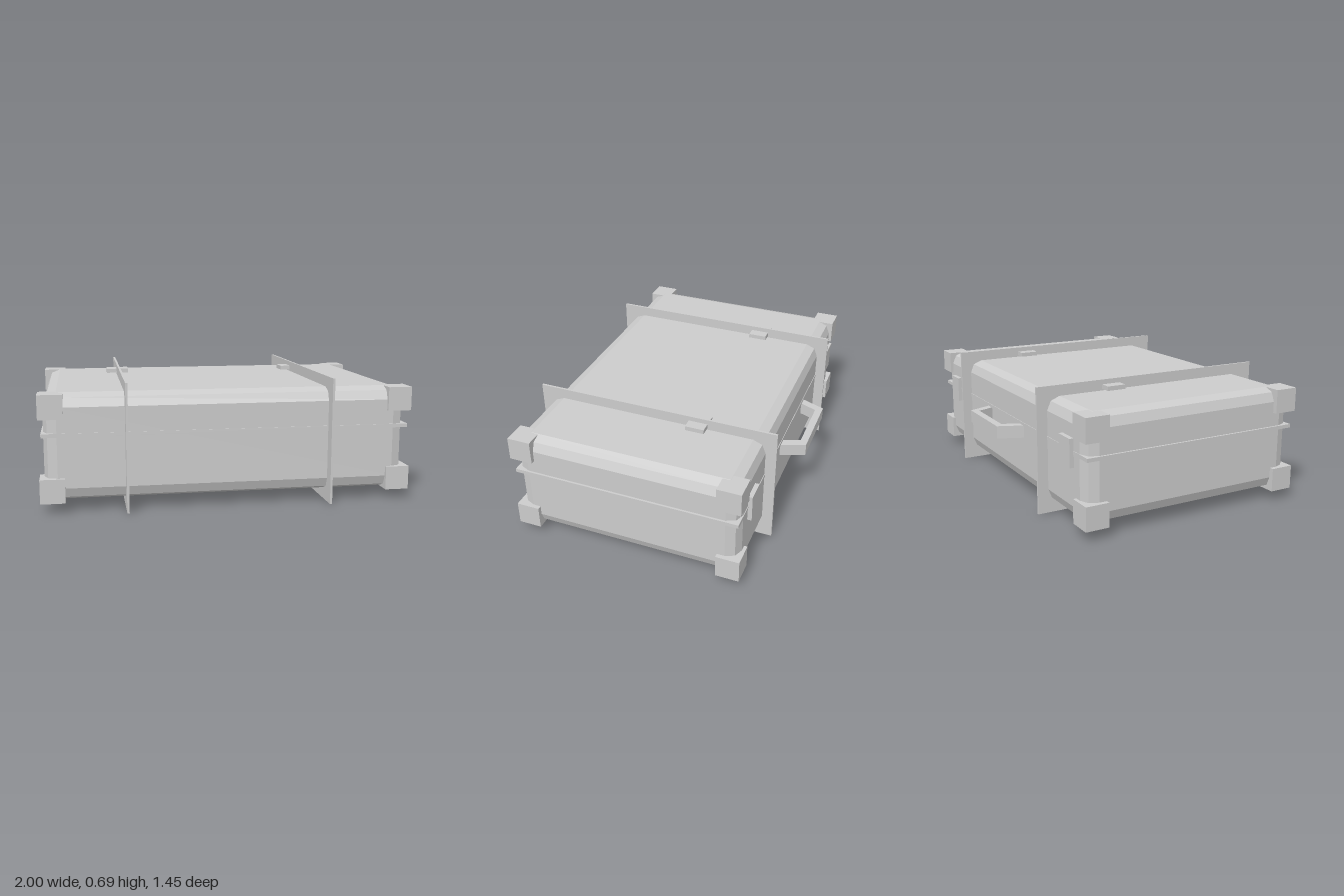
import * as THREE from 'three';
import { ConvexGeometry } from 'three/addons/geometries/ConvexGeometry.js';

const CZ = 0.036; // centre depth of the case

// Box with every edge rounded in two flat facets
function bevelledBox(hx, hy, hz, r) {
  const s = Math.SQRT1_2, t = 1 / Math.sqrt(3);
  const dirs = [[1, 0, 0], [0, 1, 0], [0, 0, 1], [s, s, 0], [s, 0, s], [0, s, s], [t, t, t]];
  const points = [];
  for (const sx of [-1, 1]) for (const sy of [-1, 1]) for (const sz of [-1, 1])
    for (const [x, y, z] of dirs)
      points.push(new THREE.Vector3(
        sx * (hx - r + r * x), sy * (hy - r + r * y), sz * (hz - r + r * z)));
  return new ConvexGeometry(points);
}

export function createModel() {
  const group = new THREE.Group();
  group.name = 'suitcase';
  const grey = new THREE.MeshStandardMaterial({ color: 0xcccccc });
  grey.name = 'light grey';

  const add = (name, geometry, x, y, z) => {
    const mesh = new THREE.Mesh(geometry, grey);
    mesh.name = name;
    mesh.position.set(x, y, z);
    group.add(mesh);
    return mesh;
  };
  const box = (name, w, h, d, x, y, z) => add(name, new THREE.BoxGeometry(w, h, d), x, y, z);

  // Case body and the rim where the lid closes
  add('body', bevelledBox(0.976, 0.283, 0.626, 0.07), 0, 0.343, CZ);
  box('rim', 1.974, 0.02, 1.258, 0, 0.411, CZ);

  // Square corner guards
  for (const x of [-0.935, 0.935])
    for (const y of [0.12, 0.5605])
      for (const z of [-0.644, 0.644].map(v => CZ + Math.sign(v) * (Math.abs(v) - 0.065)))
        box('cornerGuard', 0.13, 0.129, 0.13, x, y, z);

  // Strap plates with buckles, and the rear latches
  for (const side of [-1, 1]) {
    box('strap', 0.012, 0.685, 1.375, side * 0.547 - 0.002, 0.3425, 0.038);
    box('buckle', 0.13, 0.024, 0.106, side * 0.547 - 0.003, 0.647, -0.213);
    box('latch', 0.117, 0.15, 0.04, side * 0.782 - 0.005, 0.41, -0.594);
  }

  // Carrying handle on the back, an open trapezoid
  const shape = new THREE.Shape([
    [-0.255, 0], [-0.198, 0.14], [0.198, 0.14], [0.255, 0],
    [0.205, 0], [0.165, 0.1], [-0.165, 0.1], [-0.205, 0],
  ].map(([x, y]) => new THREE.Vector2(x, y)));
  const handle = new THREE.ExtrudeGeometry(shape, { depth: 0.07, bevelEnabled: false });
  handle.rotateX(-Math.PI / 2);
  add('handle', handle, -0.003, 0.335, -0.586);

  return group;
}
